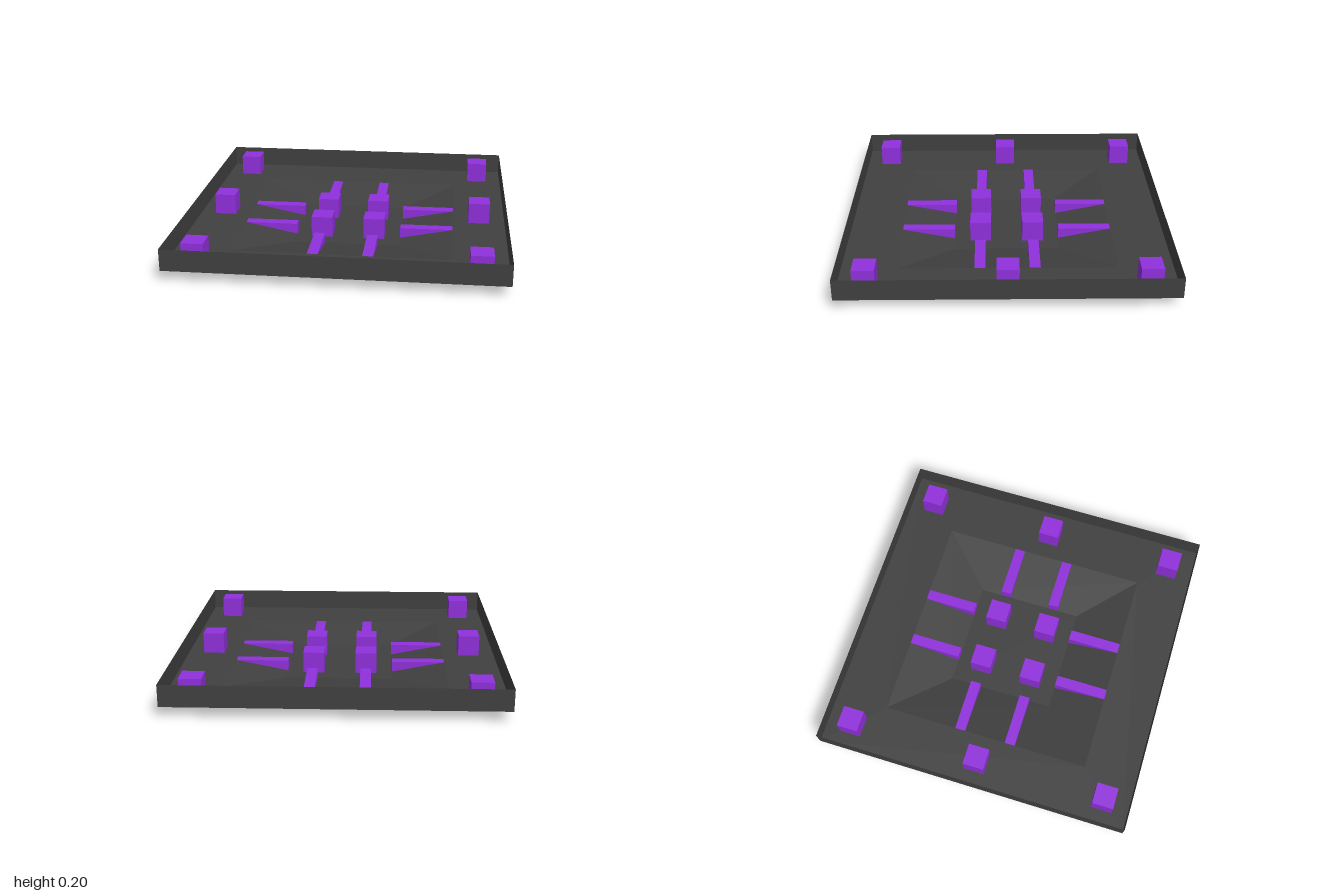
import * as THREE from 'three';

export function createModel() {
  const model = new THREE.Group();
  const charcoal = new THREE.MeshStandardMaterial({ color: 0x404040, side: THREE.DoubleSide });
  charcoal.name = 'charcoal';
  const purple = new THREE.MeshStandardMaterial({ color: 0x9030dc });
  purple.name = 'purple';

  const unit = 1 / 15; // depth of the recess
  const add = (geometry, material, name, x = 0, y = 0, z = 0) => {
    const mesh = new THREE.Mesh(geometry, material);
    mesh.name = name;
    mesh.position.set(x, y, z);
    model.add(mesh);
  };

  // Thin square tray with a sloped central recess: a four-sided lathe
  const profile = [[0, 0], [1 / 3, 0], [2 / 3, unit], [1, unit], [1, 3 * unit]]
    .map(([half, y]) => new THREE.Vector2(half * Math.SQRT2, y));
  const tray = new THREE.LatheGeometry(profile, 4, Math.PI / 4).toNonIndexed();
  tray.computeVertexNormals();
  add(tray, charcoal, 'tray');

  // Cubes on the recess floor and along the two side ledges
  const size = 2 * unit;
  const lift = 0.001; // keeps the bases clear of the tray surface
  const cube = new THREE.BoxGeometry(size, size - lift, size);
  const cubeY = (size + lift) / 2;
  for (const x of [-1, 1]) {
    for (const z of [-1, 1]) add(cube, purple, 'centreCube', x / 6, cubeY, z / 6);
    for (const z of [-1, 0, 1]) add(cube, purple, 'ledgeCube', x * 5 / 6, unit + cubeY, z * 5 / 6);
  }

  // Bars passing through each slope, seen as wedges above and below
  const barX = new THREE.BoxGeometry(1 / 3, unit, unit);
  const barZ = new THREE.BoxGeometry(unit, unit, 1 / 3);
  for (const a of [-1, 1]) {
    for (const b of [-1, 1]) {
      add(barX, purple, 'sideSlopeBar', a / 2, unit / 2, b / 6);
      add(barZ, purple, 'endSlopeBar', b / 6, unit / 2, a / 2);
    }
  }
  return model;
}
